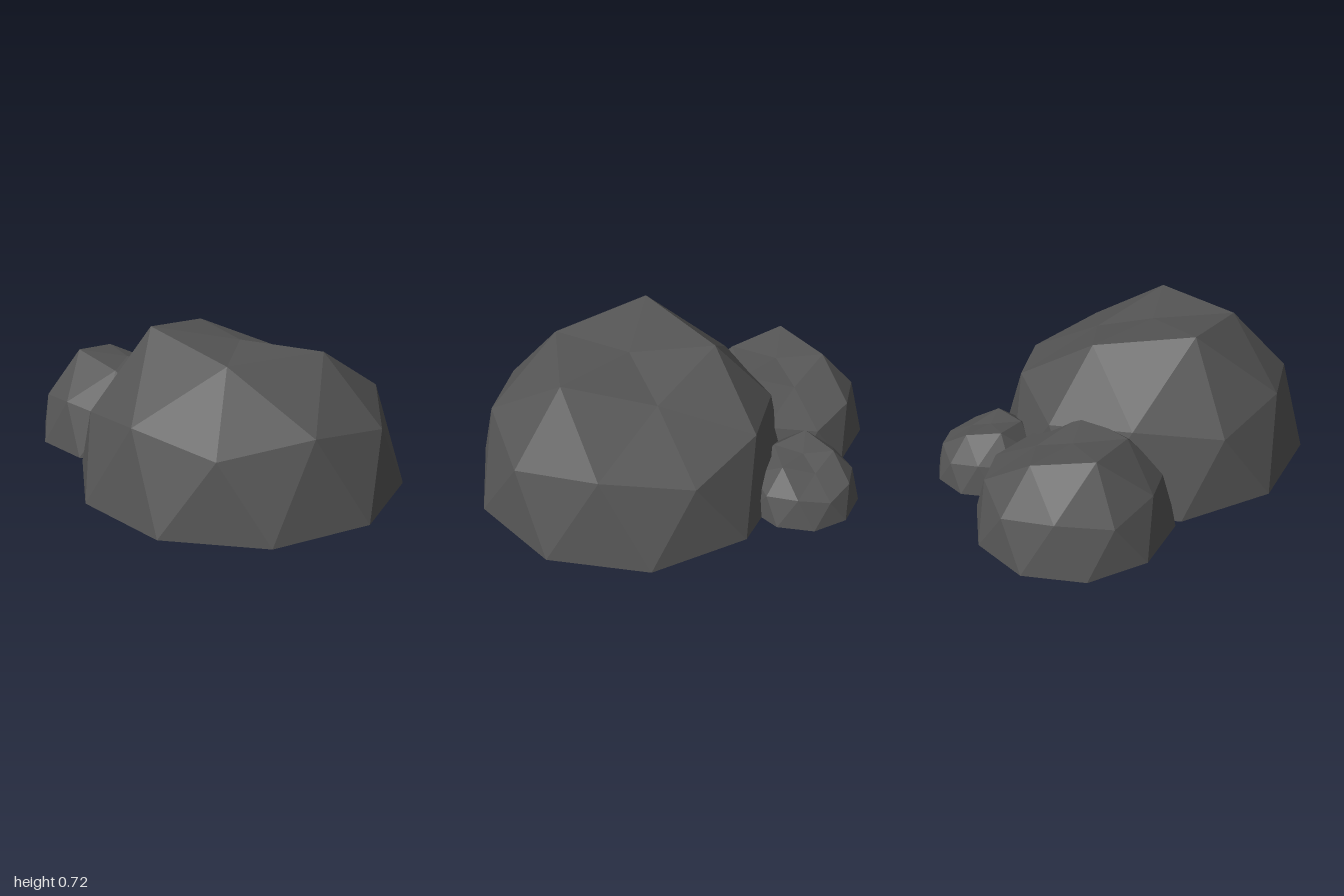
import * as THREE from 'three';

// Faceted half-dome: summit, ring of 5, ring of 10, base ring of 10
function boulderGeometry() {
  const points = [];
  const add = (r, y, deg) => {
    const a = THREE.MathUtils.degToRad(deg);
    points.push(r * Math.cos(a), y, r * Math.sin(a));
  };
  add(0, 0.851, 0);
  for (let k = 0; k < 5; k++) {
    if (k === 0) add(0.40, 0.709, 0);          // flattened slope on one side
    else add(0.526, k === 3 ? 0.954 : 0.851, 72 * k); // one raised peak
  }
  for (let j = 0; j < 10; j++) {
    if (j % 2) add(0.851, 0.526, 36 * j);
    else add(0.894, 0.447, 36 * j);
  }
  for (let j = 0; j < 10; j++) add(1, 0, 18 + 36 * j);
  add(0, 0, 0);

  const upper = k => 1 + (k % 5);
  const middle = j => 6 + (j % 10);
  const base = j => 16 + (j % 10);
  const faces = [];
  for (let k = 0; k < 5; k++) {
    const a = upper(k), b = upper(k + 1);
    const v = middle(2 * k), m = middle(2 * k + 1), w = middle(2 * k + 2);
    faces.push(0, b, a, a, m, v, a, b, m, b, w, m);
  }
  for (let j = 0; j < 10; j++) {
    faces.push(middle(j), middle(j + 1), base(j));
    faces.push(middle(j + 1), base(j + 1), base(j));
    faces.push(26, base(j), base(j + 1)); // flat underside
  }
  const indexed = new THREE.BufferGeometry();
  indexed.setAttribute('position', new THREE.Float32BufferAttribute(points, 3));
  indexed.setIndex(faces);
  const geometry = indexed.toNonIndexed();
  geometry.computeVertexNormals();
  return geometry;
}

export function createModel() {
  const group = new THREE.Group();
  group.name = 'boulders';
  const geometry = boulderGeometry();
  const material = new THREE.MeshStandardMaterial({ color: 0x555555, flatShading: true });

  // name, radius, x, z
  const rocks = [
    ['largeBoulder', 0.755, -0.05, 0.245],
    ['mediumBoulder', 0.455, -0.05, -0.545],
    ['smallBoulder', 0.273, 0.5, -0.37],
  ];
  for (const [name, radius, x, z] of rocks) {
    const rock = new THREE.Mesh(geometry, material);
    rock.name = name;
    rock.scale.setScalar(radius);
    rock.position.set(x, 0, z);
    group.add(rock);
  }
  return group;
}
